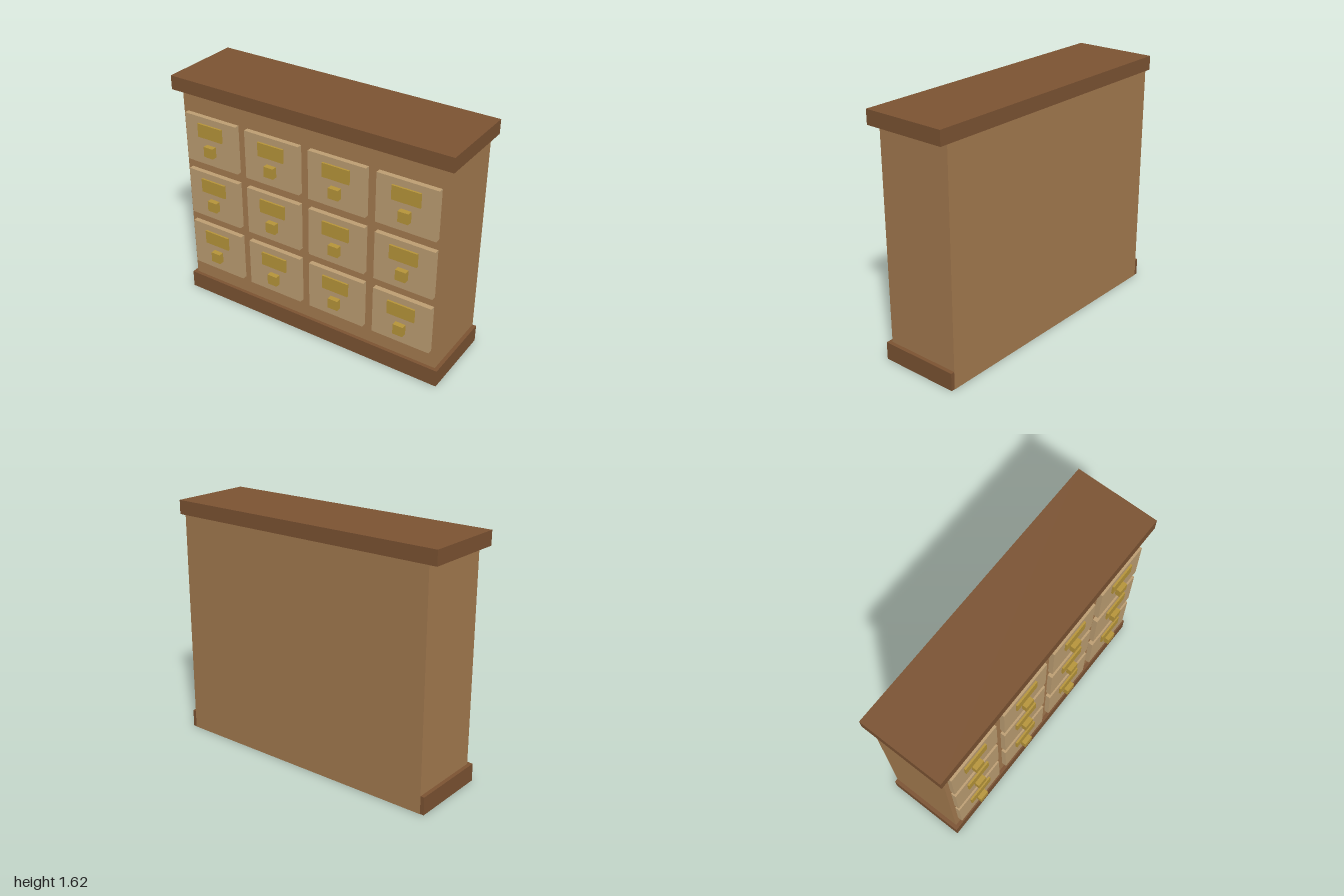
import * as THREE from 'three';

const paint = (name, color) => {
  const m = new THREE.MeshStandardMaterial({ color });
  m.name = name;
  return m;
};

// Box given by its x centre, width, and y and z ranges
function box(name, material, x, width, y0, y1, z0, z1) {
  const mesh = new THREE.Mesh(new THREE.BoxGeometry(width, y1 - y0, z1 - z0), material);
  mesh.position.set(x, (y0 + y1) / 2, (z0 + z1) / 2);
  mesh.name = name;
  return mesh;
}

export function createModel() {
  const wood = paint('wood', 0xa67c50);
  const darkWood = paint('dark wood', 0x7d5433);
  const paleWood = paint('pale wood', 0xbfa074);
  const brass = paint('brass', 0xb8963a);

  const group = new THREE.Group();
  group.name = 'drawerCabinet';

  // Carcass, plinth and top; the carcass back runs down over the plinth
  const back = -0.297, front = 0.227;
  group.add(
    box('carcass', wood, 0, 1.9, 0, 1.527, back, front),
    box('plinth', darkWood, 0, 1.952, 0.001, 0.12, back + 0.001, 0.251),
    box('top', darkWood, 0, 2, 1.527, 1.621, back, 0.274)
  );

  // Three rows of four drawers, each with a label plate and a square knob
  for (let row = 0; row < 3; row++) {
    for (let col = 0; col < 4; col++) {
      const x = (col - 1.5) * 0.476;
      const y = 0.41 + row * 0.4035;
      const drawer = new THREE.Group();
      drawer.name = 'drawer';
      drawer.add(
        box('drawerFront', paleWood, x, 0.406, y - 0.166, y + 0.166, front - 0.01, 0.261),
        box('labelPlate', brass, x, 0.19, y + 0.027, y + 0.121, 0.255, 0.274),
        box('knob', brass, x, 0.071, y - 0.091, y - 0.02, 0.255, 0.297)
      );
      group.add(drawer);
    }
  }
  return group;
}
